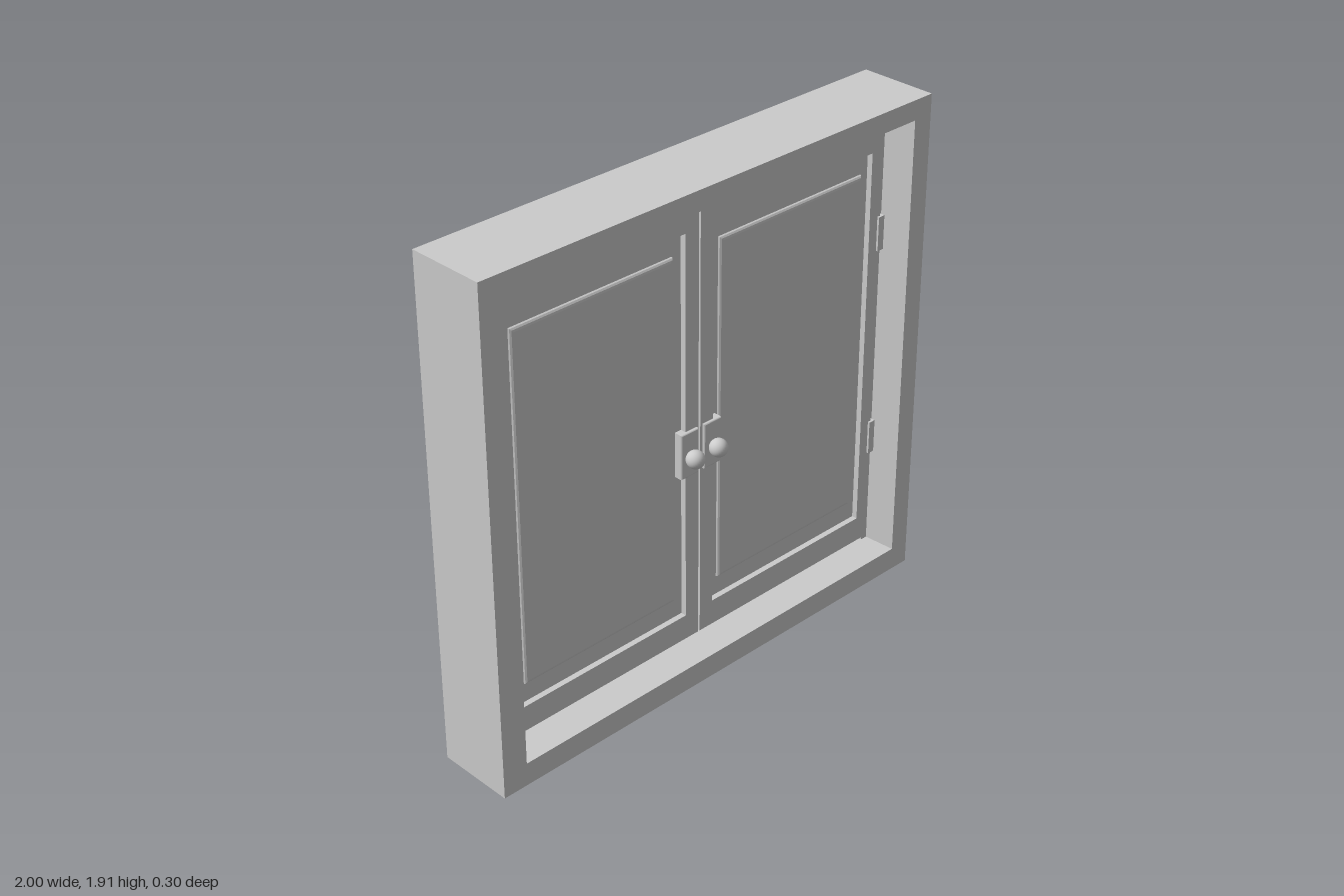
import * as THREE from 'three';

const grey = new THREE.MeshStandardMaterial({ color: 0xcccccc });
const CX = 0.005; // seam between the two doors

function add(parent, name, geometry, x = 0, y = 0, z = 0) {
  const mesh = new THREE.Mesh(geometry, grey);
  mesh.name = name;
  mesh.position.set(x, y, z);
  parent.add(mesh);
  return mesh;
}

// Box given by its limits in x and y and by its half depth
function slab(parent, name, x0, x1, y0, y1, half) {
  return add(parent, name, new THREE.BoxGeometry(x1 - x0, y1 - y0, 2 * half), (x0 + x1) / 2, (y0 + y1) / 2, 0);
}

function rect(Type, x0, x1, y0, y1) {
  return new Type([[x0, y0], [x1, y0], [x1, y1], [x0, y1]].map(([x, y]) => new THREE.Vector2(x, y)));
}

// Slab with bevelled rims on both faces; the limits include the bevel
function bevelled(parent, name, x0, x1, y0, y1, half, size, thick) {
  const shape = rect(THREE.Shape, x0 + size, x1 - size, y0 + size, y1 - size);
  const depth = 2 * (half - thick);
  const geometry = new THREE.ExtrudeGeometry(shape, {
    depth, bevelEnabled: true, bevelSize: size, bevelThickness: thick, bevelSegments: 3,
  });
  return add(parent, name, geometry, 0, 0, -depth / 2);
}

// Upright post with a slightly skewed inner face
function post(parent, name, outer, front, back, height) {
  const shape = new THREE.Shape([[outer, -0.15], [front, -0.15], [back, 0.15], [outer, 0.15]]
    .map(([x, y]) => new THREE.Vector2(x, y)));
  const geometry = new THREE.ExtrudeGeometry(shape, { depth: height, bevelEnabled: false });
  geometry.rotateX(-Math.PI / 2);
  add(parent, name, geometry, 0, 0.09, 0);
}

// One leaf; side is -1 or 1
function door(side) {
  const group = new THREE.Group();
  group.name = side < 0 ? 'rightDoor' : 'leftDoor';
  const span = (a, b) => [CX + side * a, CX + side * b].sort((p, q) => p - q);

  // Stiles and rails around the recessed panel
  const frame = rect(THREE.Shape, ...span(0.004, 0.884), 0.115, 1.81);
  frame.holes.push(rect(THREE.Path, ...span(0.065, 0.83), 0.215, 1.71));
  add(group, 'doorFrame', new THREE.ExtrudeGeometry(frame, { depth: 0.08, bevelEnabled: false }), 0, 0, -0.04);
  slab(group, 'recess', ...span(0.05, 0.84), 0.2, 1.72, 0.018);
  bevelled(group, 'raisedPanel', ...span(0.105, 0.795), 0.29, 1.635, 0.03, 0.015, 0.012);

  // Hinges
  for (const y of [0.555, 1.39]) {
    slab(group, 'hinge', ...span(0.87, 0.898), y - 0.066, y + 0.066, 0.048);
  }

  // Plate and knob on both faces
  bevelled(group, 'lockPlate', ...span(0.014, 0.094), 0.795, 0.97, 0.052, 0.006, 0.006);
  for (const z of [-1, 1]) {
    const stem = new THREE.CylinderGeometry(0.014, 0.014, 0.04, 20);
    stem.rotateX(Math.PI / 2);
    add(group, 'knobStem', stem, CX + side * 0.055, 0.875, z * 0.06);
    add(group, 'knob', new THREE.SphereGeometry(0.034, 28, 18), CX + side * 0.055, 0.875, z * 0.078);
  }
  return group;
}

export function createModel() {
  const model = new THREE.Group();
  model.name = 'doubleShutter';

  // Outer frame
  slab(model, 'sill', -1, 1, 0, 0.09, 0.15);
  slab(model, 'lintel', -1, 1, 1.84, 1.915, 0.15);
  post(model, 'rightPost', -1, -0.9, -0.92, 1.75);
  post(model, 'leftPost', 1, 0.92, 0.9, 1.75);

  // Thin stops closing the gaps around the doors
  slab(model, 'headStop', -0.91, 0.91, 1.805, 1.84, 0.025);
  slab(model, 'rightStop', -0.915, -0.872, 0.09, 1.84, 0.025);
  slab(model, 'leftStop', 0.885, 0.915, 0.09, 1.84, 0.025);
  slab(model, 'meetingStrip', CX - 0.015, CX + 0.015, 0.116, 1.8, 0.025);

  model.add(door(-1), door(1));
  return model;
}
